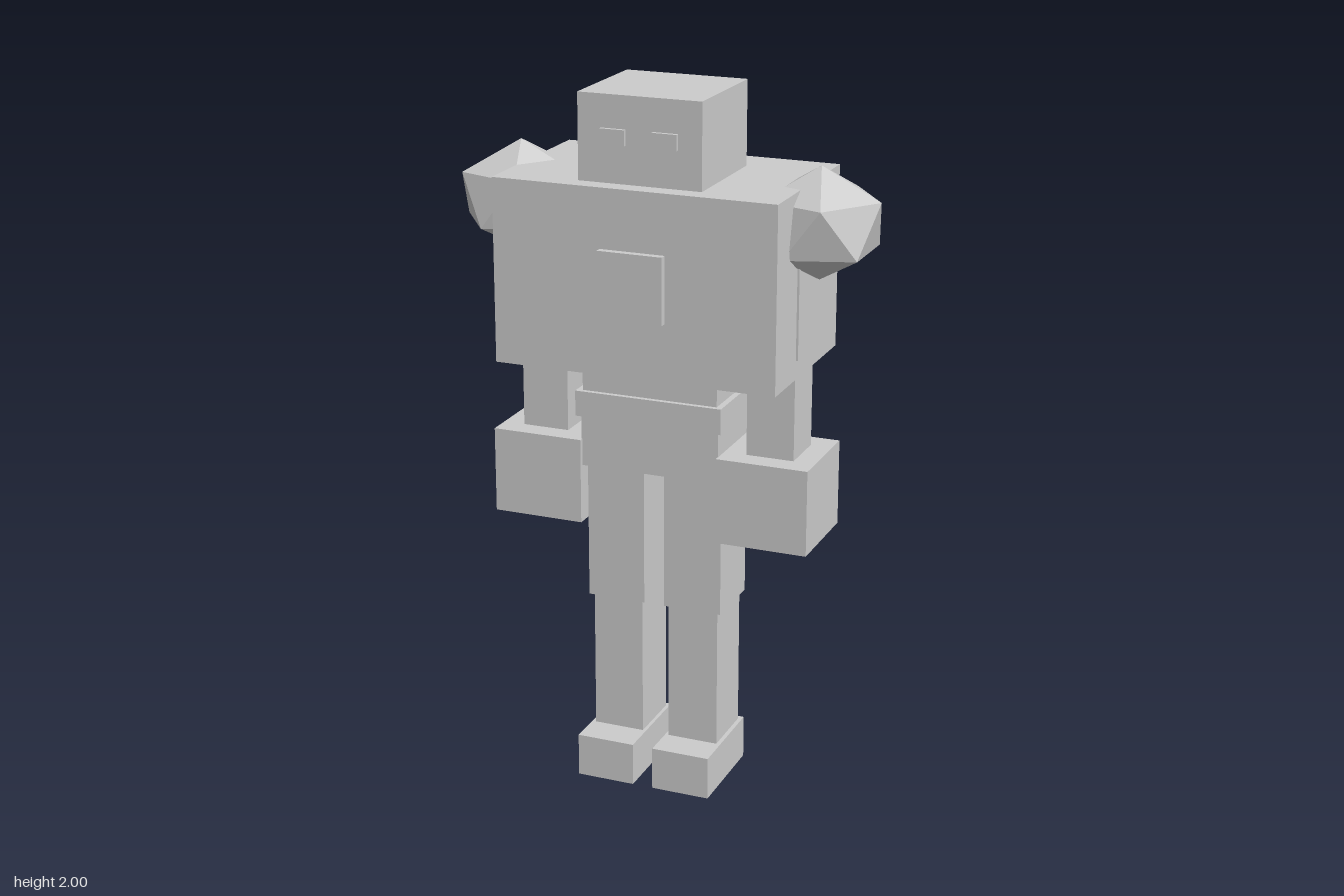
import * as THREE from 'three';

export function createModel() {
  const model = new THREE.Group();
  model.name = 'blockRobot';
  const material = new THREE.MeshStandardMaterial({ color: 0xcccccc, flatShading: true });
  const body = new THREE.Group();
  body.name = 'body';
  body.position.x = -0.002;
  model.add(body);

  // Box given by its limits on each axis
  function box(name, [x0, x1], [y0, y1], [z0, z1]) {
    const mesh = new THREE.Mesh(new THREE.BoxGeometry(x1 - x0, y1 - y0, z1 - z0), material);
    mesh.name = name;
    mesh.position.set((x0 + x1) / 2, (y0 + y1) / 2, (z0 + z1) / 2);
    body.add(mesh);
  }
  // The same box on the left (+x) and right (-x)
  function pair(name, [x0, x1], y, z) {
    box(name + 'Left', [x0, x1], y, z);
    box(name + 'Right', [-x1, -x0], y, z);
  }

  // Head and torso
  box('head', [-0.176, 0.176], [1.763, 2], [-0.146, 0.184]);
  pair('eye', [0.039, 0.109], [1.867, 1.91], [0.15, 0.195]);
  box('torso', [-0.405, 0.405], [1.247, 1.763], [-0.259, 0.237]);
  box('chestPlate', [-0.093, 0.093], [1.411, 1.597], [0.2, 0.257]);
  box('backPack', [-0.106, 0.31], [1.087, 1.35], [-0.245, -0.188]);

  // Waist, belt and hips
  box('waist', [-0.198, 0.198], [1.12, 1.3], [-0.14, 0.123]);
  box('belt', [-0.215, 0.215], [1.084, 1.157], [-0.154, 0.137]);
  box('pelvis', [-0.203, 0.203], [0.936, 1.12], [-0.142, 0.124]);

  // Arms
  pair('upperArm', [0.25, 0.411], [1.3, 1.66], [-0.09, 0.077]);
  pair('forearm', [0.267, 0.403], [0.98, 1.32], [-0.07, 0.074]);
  pair('hand', [0.201, 0.465], [0.769, 1.014], [-0.133, 0.138]);

  // Legs
  pair('thigh', [0.03, 0.2], [0.533, 0.96], [-0.106, 0.09]);
  pair('shin', [0.04, 0.188], [0.1, 0.55], [-0.095, 0.08]);
  pair('foot', [0.03, 0.2], [0, 0.125], [-0.111, 0.178]);

  // Shoulders: icosahedra turned to stand on a corner, slightly flattened
  const shoulder = new THREE.IcosahedronGeometry(1, 0);
  shoulder.rotateZ(-Math.atan(2 / (1 + Math.sqrt(5))));
  shoulder.scale(0.186, 0.155, 0.186);
  for (const [name, x] of [['shoulderLeft', 0.436], ['shoulderRight', -0.436]]) {
    const mesh = new THREE.Mesh(shoulder, material);
    mesh.name = name;
    mesh.position.set(x, 1.66, -0.012);
    body.add(mesh);
  }

  return model;
}
